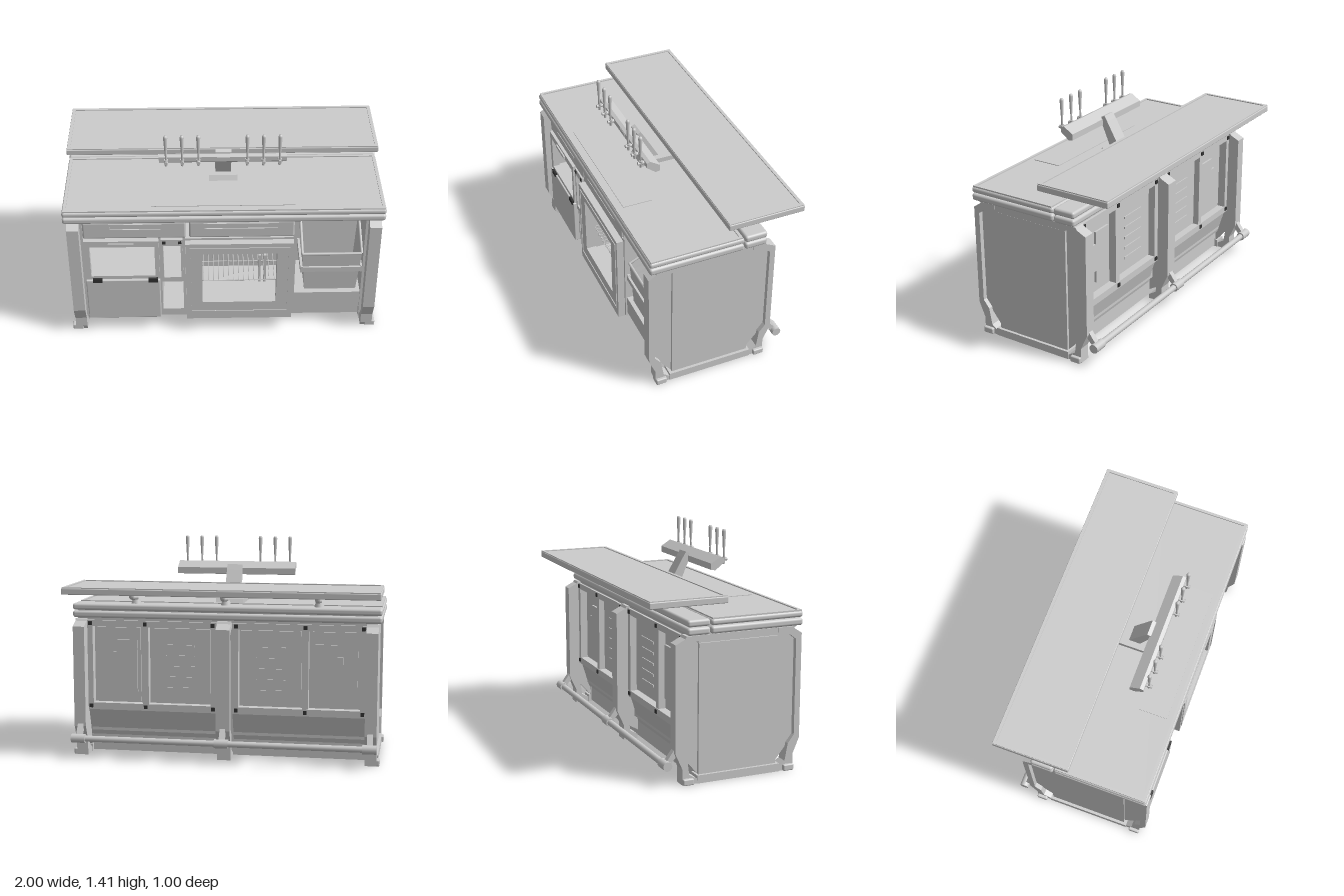
import * as THREE from 'three';
import { RoundedBoxGeometry } from 'three/addons/geometries/RoundedBoxGeometry.js';

const grey = new THREE.MeshStandardMaterial({ color: 0xcccccc, side: THREE.DoubleSide });
const dark = new THREE.MeshStandardMaterial({ color: 0x333333 });

export function createModel() {
  const root = new THREE.Group();
  const add = (name, geo, mat = grey) => {
    const m = new THREE.Mesh(geo, mat);
    m.name = name;
    root.add(m);
    return m;
  };
  // Box from its limits, optionally rounded
  const box = (name, x0, x1, y0, y1, z0, z1, r = 0, mat = grey) => {
    const s = [x1 - x0, y1 - y0, z1 - z0];
    const g = r ? new RoundedBoxGeometry(...s, 3, r) : new THREE.BoxGeometry(...s);
    return add(name, g.translate((x0 + x1) / 2, (y0 + y1) / 2, (z0 + z1) / 2), mat);
  };
  // Outline of [z, y] points extruded from x0 to x1
  const profile = (name, pts, x0, x1) => {
    const s = new THREE.Shape(pts.map(p => new THREE.Vector2(...p)));
    const g = new THREE.ExtrudeGeometry(s, { depth: x1 - x0, bevelEnabled: false });
    return add(name, g.rotateY(-Math.PI / 2).translate(x1, 0, 0));
  };
  const rect = (P, x0, x1, y0, y1) => {
    const p = new P();
    p.moveTo(x0, y0);
    p.lineTo(x1, y0);
    p.lineTo(x1, y1);
    p.lineTo(x0, y1);
    p.closePath();
    return p;
  };
  // Upright plate with a rectangular opening [x0, x1, y0, y1]
  const frameGeo = (o, h, z0, z1) => {
    const s = rect(THREE.Shape, ...o);
    s.holes.push(rect(THREE.Path, ...h));
    return new THREE.ExtrudeGeometry(s, { depth: z1 - z0, bevelEnabled: false }).translate(0, 0, z0);
  };
  const frame = (name, o, h, z0, z1) => add(name, frameGeo(o, h, z0, z1));
  // Flat raised rim around a worktop
  const rim = (name, x, z0, z1, y0, y1, t) => add(name,
    frameGeo([-x, x, -z1, -z0], [t - x, x - t, t - z1, -z0 - t], y0, y1).rotateX(-Math.PI / 2));
  const rod = (name, a, b, r0, r1 = r0, n = 16, mat = grey) => {
    const A = new THREE.Vector3(...a), B = new THREE.Vector3(...b), d = B.clone().sub(A);
    const m = add(name, new THREE.CylinderGeometry(r1, r0, d.length(), n), mat);
    m.position.copy(A).add(B).multiplyScalar(0.5);
    m.quaternion.setFromUnitVectors(new THREE.Vector3(0, 1, 0), d.normalize());
    return m;
  };

  // Worktop in two layers, rear strip and raised bar shelf
  for (const [y0, y1] of [[0.905, 0.95], [0.955, 0.993]]) {
    box('worktopLayer', -1, 1, y0, y1, -0.11, 0.495, 0.016);
    box('rearStrip', -1, 1, y0, y1 + (y1 > 0.96 ? 0.005 : 0), -0.262, -0.117, 0.016);
  }
  box('worktopCore', -0.97, 0.97, 0.89, 0.97, -0.24, 0.46);
  rim('worktopRim', 0.992, -0.1, 0.487, 0.985, 1.0, 0.018);
  box('dripTray', -0.45, 0.44, 0.99, 0.997, 0.245, 0.435);
  box('barShelf', -1, 1, 1.08, 1.12, -0.5, -0.005, 0.006);
  rim('shelfRim', 0.996, -0.496, -0.009, 1.115, 1.126, 0.02);

  // Swan-neck shelf supports
  for (const x of [-0.6, 0, 0.59]) {
    rod('supportFoot', [x, 0.99, -0.19], [x, 1.025, -0.19], 0.035, 0.025);
    const path = new THREE.CatmullRomCurve3([[1.01, -0.185], [1.035, -0.2], [1.045, -0.26], [1.055, -0.315], [1.085, -0.32]]
      .map(([y, z]) => new THREE.Vector3(x, y, z)));
    add('supportArm', new THREE.TubeGeometry(path, 24, 0.017, 12));
    rod('supportPin', [x, 1.02, -0.185], [x, 1.085, -0.185], 0.004);
    box('supportPlate', x - 0.045, x + 0.045, 1.07, 1.082, -0.365, -0.275);
  }

  // Tap tower: foot, leaning column, tilted head, taps
  profile('towerFoot', [[0.17, 0.99], [0.15, 1.025], [-0.05, 1.025], [-0.07, 0.99]], -0.09, 0.09);
  profile('towerColumn', [[0.11, 1.02], [0.185, 1.195], [0.18, 1.22], [0.157, 1.23], [0.135, 1.195], [0.035, 1.02]], -0.05, 0.05);
  profile('tapHead', [[0.2, 1.16], [0.258, 1.205], [0.258, 1.237], [0.235, 1.245], [0.17, 1.205], [0.17, 1.165]], -0.4, 0.39);
  box('headBadgePlate', -0.04, 0.04, 1.21, 1.232, 0.25, 0.261);
  for (const x of [-0.355, -0.255, -0.155, 0.145, 0.245, 0.345]) {
    rod('tapBody', [x, 1.22, 0.25], [x, 1.22, 0.3], 0.011);
    rod('tapSpout', [x, 1.19, 0.278], [x, 1.235, 0.278], 0.008, 0.013);
    const pts = [[0, 0], [0.007, 0], [0.006, 0.04], [0.009, 0.08], [0.013, 0.165], [0.009, 0.178], [0, 0.178]];
    add('tapHandle', new THREE.LatheGeometry(pts.map(p => new THREE.Vector2(...p)), 12)).position.set(x, 1.232, 0.28);
  }

  // Carcass: plinth, back, dividers
  box('plinth', -0.9, 0.9, 0.01, 0.15, -0.17, 0.335);
  box('carcassBack', -0.9, 0.9, 0.15, 0.9, -0.2, -0.18);
  for (const x of [-0.895, -0.407, -0.255, 0.447, 0.895])
    box('divider', x - 0.008, x + 0.008, 0.12, 0.9, -0.18, 0.44);
  box('carcassFloor', -0.9, 0.447, 0.115, 0.15, -0.17, 0.43);

  // End panels with shaped corner posts
  const frontPost = [[0.34, 0.9], [0.44, 0.9], [0.45, 0.885], [0.497, 0.855], [0.497, 0.2], [0.455, 0.1], [0.455, 0.03],
    [0.445, 0], [0.36, 0], [0.36, 0.03], [0.4, 0.06], [0.42, 0.17], [0.46, 0.22], [0.46, 0.82], [0.42, 0.85], [0.34, 0.87]];
  const backPost = [[-0.18, 0.9], [-0.26, 0.9], [-0.27, 0.885], [-0.33, 0.855], [-0.33, 0.2], [-0.285, 0.1], [-0.285, 0],
    [-0.19, 0], [-0.19, 0.03], [-0.24, 0.06], [-0.255, 0.17], [-0.295, 0.22], [-0.295, 0.82], [-0.25, 0.85], [-0.18, 0.87]];
  for (const s of [-1, 1]) {
    const span = (a, b) => s > 0 ? [a, b] : [-b, -a];
    box('endPanel', ...span(0.9, 0.967), 0.05, 0.85, -0.175, 0.34);
    box('endSkirting', ...span(0.9, 0.985), 0, 0.05, -0.19, 0.36);
    box('endTopRail', ...span(0.9, 0.975), 0.855, 0.9, -0.185, 0.345);
    profile('frontPost', frontPost, ...span(0.905, 0.98));
    profile('backPost', backPost, ...span(0.905, 0.98));
    profile('frontPostWeb', [[0.34, 0.88], [0.46, 0.84], [0.46, 0.2], [0.42, 0.15], [0.34, 0.05]], ...span(0.91, 0.95));
    profile('backPostWeb', [[-0.175, 0.88], [-0.3, 0.84], [-0.3, 0.2], [-0.26, 0.15], [-0.175, 0.05]], ...span(0.91, 0.95));
    for (const z of [0.42, -0.25]) box('adjustableFoot', ...span(0.93, 1), 0, 0.04, z - 0.035, z + 0.035, 0.008);

    // Rear bay: frame, mullion, vented panel, access panel
    frame('rearFrame', [...span(0.05, 0.905), 0.3, 0.89], [...span(0.09, 0.87), 0.345, 0.85], -0.255, -0.2);
    box('rearMullion', ...span(0.5, 0.54), 0.345, 0.85, -0.25, -0.2);
    box('ventPanel', ...span(0.1, 0.49), 0.355, 0.84, -0.215, -0.2);
    for (let i = 0; i < 5; i++) box('ventSlat', ...span(0.2, 0.39), 0.44 + i * 0.07, 0.455 + i * 0.07, -0.221, -0.21);
    box('accessPanel', ...span(0.56, 0.85), 0.355, 0.84, -0.212, -0.2);
    box('accessPlate', ...span(0.58, 0.72), 0.42, 0.76, -0.225, -0.21);
    box('accessGrip', ...span(0.72, 0.76), 0.5, 0.68, -0.225, -0.21);
    for (const x of [0.075, 0.52, 0.885]) for (const y of [0.325, 0.87])
      box('bolt', s * x - 0.012, s * x + 0.012, y - 0.012, y + 0.012, -0.262, -0.25, 0, dark);
    profile('rearSkirt', [[-0.17, 0.12], [-0.2, 0.3], [-0.24, 0.3], [-0.185, 0.12]], ...span(0.05, 0.905));
  }

  // Rear centre post and foot rail
  profile('centrePost', backPost, -0.045, 0.045);
  profile('centrePostWeb', [[-0.175, 0.88], [-0.3, 0.84], [-0.3, 0.2], [-0.26, 0.1], [-0.175, 0.05]], -0.02, 0.02);
  rod('footRail', [-0.98, 0.13, -0.38], [0.98, 0.13, -0.38], 0.02);
  for (const x of [-0.94, 0, 0.94]) {
    rod('railCollar', [x - 0.045, 0.13, -0.38], [x + 0.045, 0.13, -0.38], 0.029);
    profile('railBracket', [[-0.32, 0.23], [-0.39, 0.135], [-0.37, 0.115], [-0.3, 0.19]], x - 0.018, x + 0.018);
  }

  // Drawers with recessed grips
  for (const [x0, x1, g0, g1] of [[-0.885, -0.24, -0.72, -0.39], [-0.22, 0.44, -0.13, 0.34]]) {
    box('drawerFront', x0, x1, 0.76, 0.885, 0.1, 0.455, 0.012);
    frame('drawerGrip', [g0, g1, 0.83, 0.875], [g0 + 0.006, g1 - 0.006, 0.836, 0.869], 0.45, 0.462);
  }

  // Tall appliance: open hatch above a plain door
  frame('hatchFrame', [-0.885, -0.412, 0.44, 0.745], [-0.85, -0.44, 0.465, 0.7], 0.42, 0.465);
  box('hatchGrip', -0.73, -0.57, 0.71, 0.73, 0.46, 0.475);
  box('hatchFloor', -0.885, -0.412, 0.43, 0.45, -0.1, 0.44);
  box('hatchBack', -0.885, -0.412, 0.43, 0.75, 0.1, 0.11);
  box('lowerDoor', -0.885, -0.412, 0.115, 0.435, 0.4, 0.475, 0.006);
  for (const x of [-0.81, -0.455]) box('hatchHinge', x - 0.03, x + 0.03, 0.42, 0.45, 0.45, 0.48, 0, dark);

  // Narrow cabinet over an open recess
  frame('narrowFrame', [-0.4, -0.262, 0.405, 0.745], [-0.385, -0.275, 0.44, 0.7], 0.42, 0.455);
  for (const x of [-0.38, -0.28]) box('narrowCatch', x - 0.01, x + 0.01, 0.715, 0.735, 0.45, 0.46, 0, dark);
  box('narrowFloor', -0.4, -0.262, 0.405, 0.42, 0, 0.43);
  box('narrowBack', -0.4, -0.262, 0.15, 0.745, 0.1, 0.11);

  // Glazed cooler: door frame, cavity, wire rack, upright pull
  frame('coolerDoor', [-0.245, 0.438, 0.11, 0.73], [-0.14, 0.335, 0.25, 0.65], 0.42, 0.485);
  frame('coolerDoorLip', [-0.22, 0.415, 0.17, 0.7], [-0.212, 0.407, 0.178, 0.692], 0.484, 0.49);
  box('coolerBack', -0.245, 0.438, 0.13, 0.75, -0.02, 0);
  box('coolerCeiling', -0.245, 0.438, 0.73, 0.745, 0, 0.44);
  for (let i = 0; i < 19; i++) {
    const x = -0.2 + i * 0.033;
    rod('rackWire', [x, 0.37, 0.02], [x, 0.37, 0.41], 0.003, 0.003, 6);
  }
  for (const z of [0.03, 0.21, 0.4]) rod('rackRail', [-0.24, 0.365, z], [0.43, 0.365, z], 0.004, 0.004, 6);
  for (const x of [0.23, 0.265]) box('rackUpright', x - 0.008, x + 0.008, 0.33, 0.55, 0.36, 0.38);

  // Open niche with a sill and a tapered bin
  box('nicheSill', 0.455, 0.89, 0.15, 0.275, -0.17, 0.43);
  box('nicheBack', 0.455, 0.89, 0.27, 0.89, 0.08, 0.1);
  const bin = add('bin', new THREE.CylinderGeometry(0.19 * Math.SQRT2, 0.168 * Math.SQRT2, 0.43, 4, 6, true, Math.PI / 4));
  // Shape the bin: shallower than wide, with a lowered front lip
  const p = bin.geometry.attributes.position;
  for (let i = 0; i < p.count; i++) {
    const z = p.getZ(i), t = (p.getY(i) + 0.215) / 0.43;
    p.setZ(i, z * 0.72);
    if (z > 0) p.setY(i, p.getY(i) - 0.13 * t);
  }
  bin.geometry = bin.geometry.toNonIndexed();
  bin.geometry.computeVertexNormals();
  bin.position.set(0.69, 0.51, 0.29);
  box('binFloor', 0.525, 0.855, 0.285, 0.3, 0.175, 0.405);
  const edge = [[0.5, 0.725, 0.153], [0.88, 0.725, 0.153], [0.88, 0.595, 0.427], [0.5, 0.595, 0.427]];
  edge.forEach((a, i) => rod('binRim', a, edge[(i + 1) % 4], 0.009, 0.009, 8));
  for (const x of [0.497, 0.883]) box('binHolder', x - 0.008, x + 0.008, 0.455, 0.5, 0.14, 0.44);
  box('binHolderFront', 0.49, 0.89, 0.46, 0.495, 0.428, 0.442);

  return root;
}
